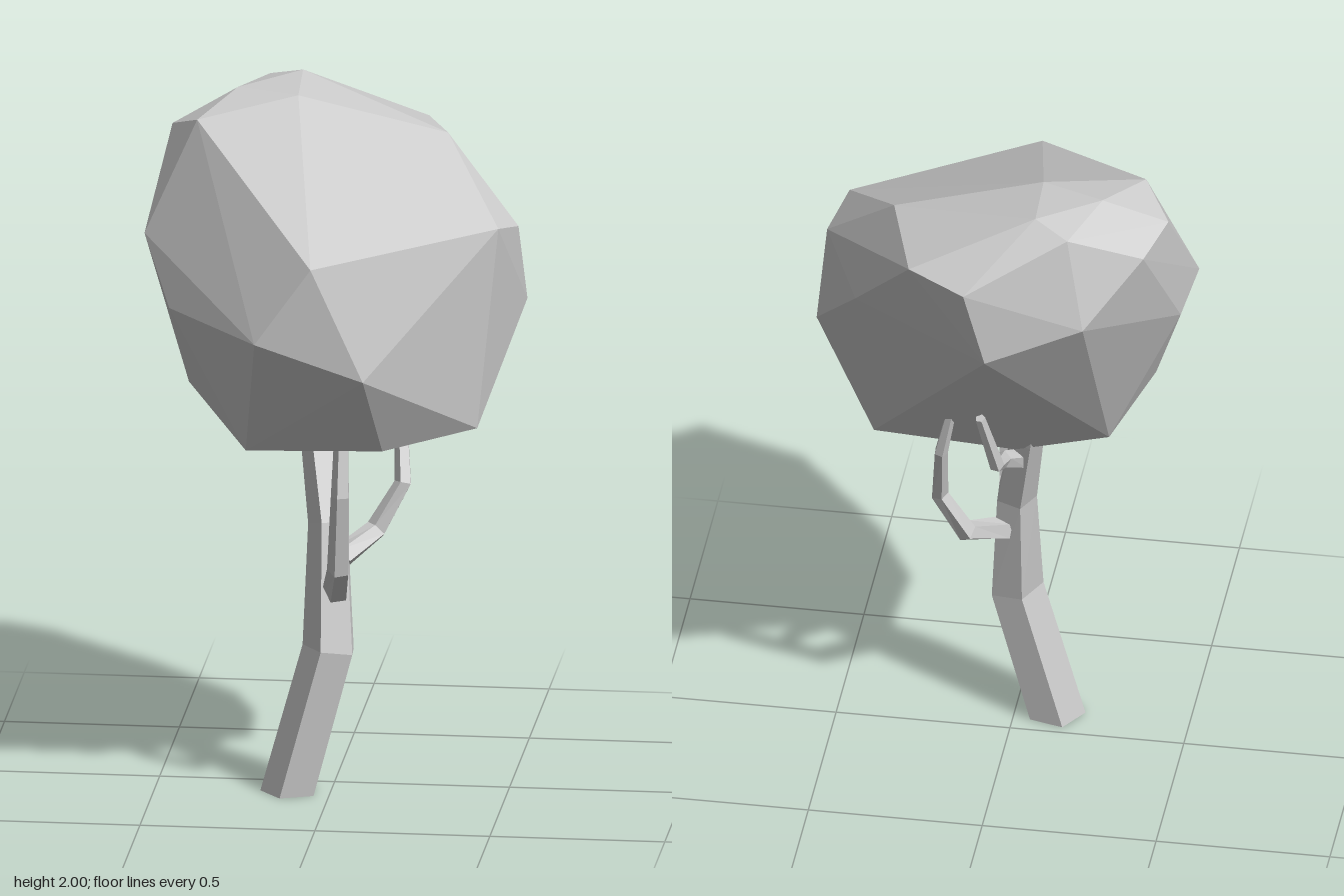
import * as THREE from 'three';
import { ConvexGeometry } from 'three/addons/geometries/ConvexGeometry.js';

const SIDES = 5;
const START = THREE.MathUtils.degToRad(32.5);
const UP = new THREE.Vector3(0, 1, 0);

// Faceted tapering limb along a path of [x, y, z, radius], closed at both ends
function limb(path, flatBase = false) {
  const centres = path.map(([x, y, z]) => new THREE.Vector3(x, y, z));
  const rings = centres.map((c, j) => {
    const before = centres[Math.max(j - 1, 0)];
    const after = centres[Math.min(j + 1, centres.length - 1)];
    const dir = flatBase && j === 0 ? UP : after.clone().sub(before).normalize();
    const q = new THREE.Quaternion().setFromUnitVectors(UP, dir);
    return Array.from({ length: SIDES }, (_, k) => {
      const a = START + (k / SIDES) * Math.PI * 2;
      return new THREE.Vector3(Math.cos(a), 0, Math.sin(a))
        .multiplyScalar(path[j][3]).applyQuaternion(q).add(c);
    });
  });
  const points = [];
  const last = rings.length - 1;
  for (let k = 0; k < SIDES; k++) {
    const n = (k + 1) % SIDES;
    for (let j = 0; j < last; j++) {
      const a = rings[j][k], b = rings[j][n], c = rings[j + 1][k], d = rings[j + 1][n];
      points.push(a, c, b, b, c, d);
    }
    points.push(centres[0], rings[0][k], rings[0][n]);
    points.push(centres[last], rings[last][n], rings[last][k]);
  }
  const geometry = new THREE.BufferGeometry().setFromPoints(points);
  geometry.computeVertexNormals();
  return geometry;
}

export function createModel() {
  const group = new THREE.Group();
  const material = new THREE.MeshStandardMaterial({ color: 0xcccccc, flatShading: true });
  const add = (name, geometry) => {
    const mesh = new THREE.Mesh(geometry, material);
    mesh.name = name;
    group.add(mesh);
  };

  // Leaning trunk, running up into the crown
  add('trunk', limb([
    [-0.115, 0, 0.105, 0.085], [0, 0.425, 0.105, 0.08],
    [-0.01, 0.78, 0.04, 0.061], [-0.055, 1.04, -0.045, 0.05], [-0.08, 1.2, -0.09, 0.045],
  ], true));

  // Bent side branches
  add('frontBranch', limb([
    [0.01, 0.57, 0.08, 0.04], [0.04, 0.7, 0.245, 0.034],
    [0.05, 0.93, 0.29, 0.028], [0.05, 1.09, 0.265, 0.022],
  ]));
  add('sideBranch', limb([
    [0.02, 0.67, 0.02, 0.036], [0.11, 0.725, -0.09, 0.032],
    [0.185, 0.86, -0.11, 0.026], [0.17, 1.05, -0.18, 0.02], [0.13, 1.24, -0.2, 0.013],
  ]));
  add('backBranch', limb([
    [-0.04, 0.95, -0.03, 0.03], [0, 1.01, -0.13, 0.026],
    [0.0, 1.06, -0.235, 0.022], [0.04, 1.25, -0.285, 0.015],
  ]));

  // Faceted boulder-like crown: corners from the top ring down to the underside
  const crown = [
    [-0.13, 2, -0.355], [-0.12, 1.985, -0.145], [-0.23, 1.965, -0.095], [-0.3, 1.985, -0.21],
    [-0.23, 1.97, -0.41], [0.305, 1.88, -0.175], [-0.395, 1.94, -0.02], [-0.48, 1.89, -0.15],
    [-0.43, 1.85, -0.29], [0.22, 1.85, -0.445], [0.05, 1.83, -0.53], [-0.28, 1.69, -0.445],
    [-0.01, 1.6, -0.52], [0.4, 1.62, -0.28], [0.485, 1.695, 0.15], [0.525, 1.66, -0.005],
    [0.54, 1.42, -0.1], [-0.01, 1.665, 0.525], [-0.54, 1.615, 0.03], [-0.5, 1.51, -0.055],
    [-0.45, 1.445, 0.2], [-0.17, 1.44, 0.53], [0.135, 1.325, 0.485], [-0.405, 1.2, 0.1],
    [0.425, 1.105, 0.155], [0.375, 1.05, -0.1], [0.17, 1.07, 0.3], [-0.22, 1.06, 0.3],
    [-0.29, 1.05, -0.03], [-0.19, 1, 0.05], [-0.03, 1.02, -0.09],
  ];
  add('crown', new ConvexGeometry(crown.map((p) => new THREE.Vector3(...p))));

  return group;
}
